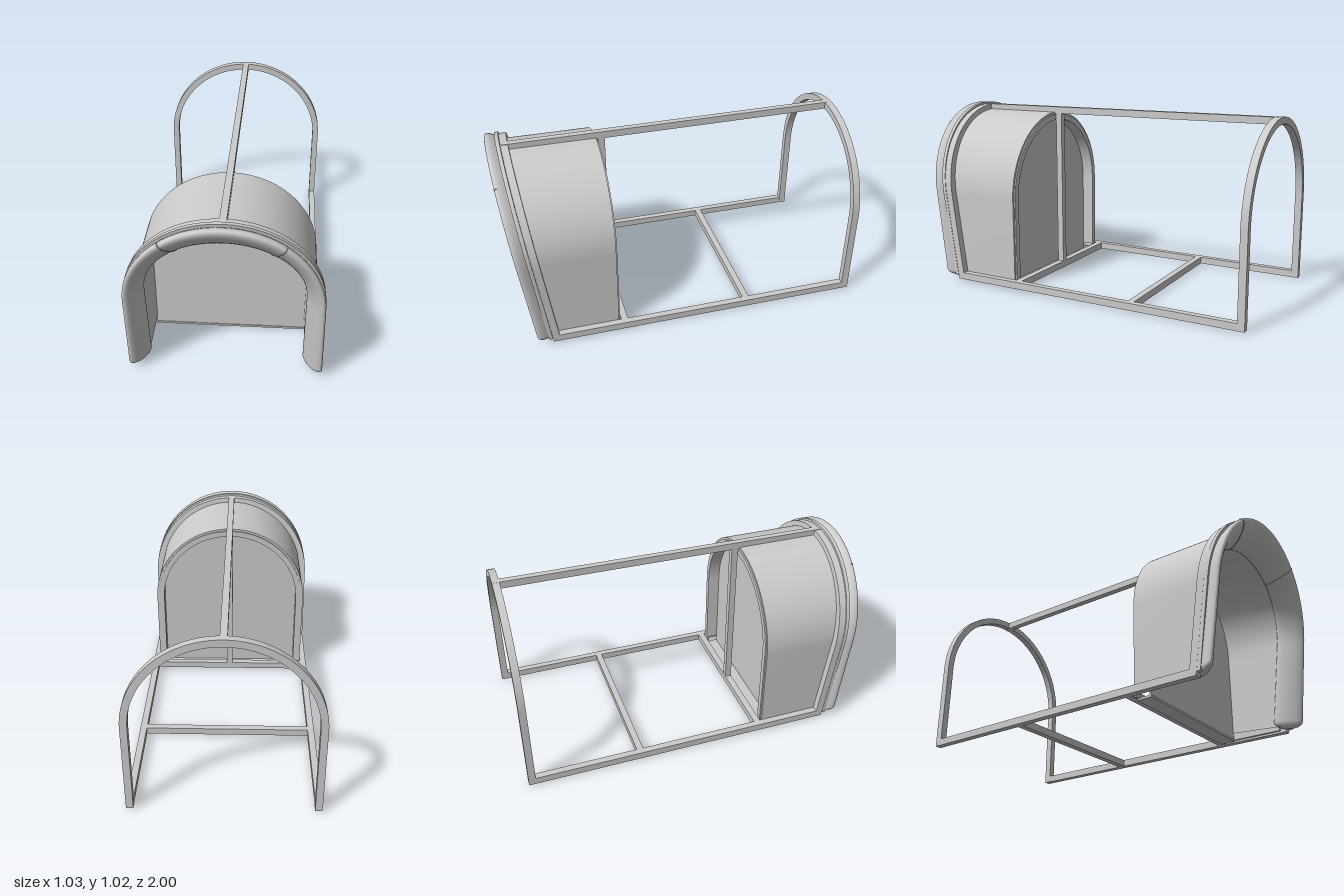
import * as THREE from 'three';
import { toCreasedNormals } from 'three/addons/utils/BufferGeometryUtils.js';

const CY = 0.515;                    // height of the arch centre
const R = 0.505;                     // outer radius of the frame arches
const SLOPE = 0.135;                 // forward lean of the front arch
const frontZ = (y) => 0.78 + SLOPE * y;

const grey = new THREE.MeshStandardMaterial({ color: 0xcccccc });
const greyBoth = new THREE.MeshStandardMaterial({ color: 0xcccccc, side: THREE.DoubleSide });

// Upside-down U (or a solid arched plate when there is no inner radius)
function archGeometry(outer, inner, y0, z0, z1) {
  const s = new THREE.Shape();
  s.moveTo(outer, y0);
  s.lineTo(outer, CY);
  s.absarc(0, CY, outer, 0, Math.PI, false);
  s.lineTo(-outer, y0);
  if (inner) {
    s.lineTo(-inner, y0);
    s.lineTo(-inner, CY);
    s.absarc(0, CY, inner, Math.PI, 0, true);
    s.lineTo(inner, y0);
  }
  s.closePath();
  const g = new THREE.ExtrudeGeometry(s, { depth: z1 - z0, bevelEnabled: false, curveSegments: 40 });
  return g.translate(0, 0, z0);
}

// Shift z of every vertex by a rule
function bendZ(geometry, rule) {
  const p = geometry.attributes.position;
  for (let i = 0; i < p.count; i++) p.setZ(i, rule(p.getY(i), p.getZ(i)));
  return geometry;
}

// Smooth skin over rows of points, optionally closed around each row
function skin(rows, closed) {
  const n = rows[0].length, pos = [], idx = [];
  rows.forEach((row) => row.forEach((p) => pos.push(p.x, p.y, p.z)));
  for (let i = 0; i < rows.length - 1; i++) {
    for (let j = 0; j < (closed ? n : n - 1); j++) {
      const a = i * n + j, b = i * n + (j + 1) % n;
      idx.push(a, a + n, b, b, a + n, b + n);
    }
  }
  const g = new THREE.BufferGeometry();
  g.setAttribute('position', new THREE.Float32BufferAttribute(pos, 3));
  g.setIndex(idx);
  g.computeVertexNormals();
  return g;
}

// Stations up one leg, over the arch and down the other leg
function archStations(y0, capHeight) {
  const half = [];
  if (capHeight) {
    for (let k = 0; k < 6; k++) {
      const a = (k / 6) * Math.PI / 2;
      half.push({ ux: 1, uy: 0, y: y0 - capHeight * Math.cos(a), s: Math.max(0.001, Math.sin(a)) });
    }
  }
  for (let k = 0; k < 8; k++) half.push({ ux: 1, uy: 0, y: y0 + (CY - y0) * k / 8, s: 1 });
  const arc = [];
  for (let k = 0; k <= 48; k++) arc.push(arcStation(Math.PI * k / 48));
  const other = half.map((h) => ({ ...h, ux: -1 })).reverse();
  return [...half, ...arc, ...other];
}
function arcStation(a) {
  return { ux: Math.cos(a), uy: Math.sin(a), y: CY, s: 1 };
}

// One point of the padded rim's section; its inner side leans into the tunnel
function rimPoint(st, phi, grow = 1) {
  const outer = 0.516 - 0.011 * Math.min(1, st.y / CY);
  const inner = 0.412 - 0.055 * st.uy ** 2;
  const c = Math.cos(phi), s = Math.sin(phi);
  const r = (outer + inner) / 2 + c * st.s * grow * (outer - inner) / 2;
  const y = st.y + st.uy * r;
  const centre = 0.013 + 0.05 * c * st.s;
  return new THREE.Vector3(st.ux * r, y, frontZ(y) + centre + s * st.s * grow * 0.045);
}

export function createModel() {
  const model = new THREE.Group();
  const add = (name, geometry, material = grey, parent = model) => {
    const m = new THREE.Mesh(geometry, material);
    m.name = name;
    parent.add(m);
    return m;
  };
  const bar = (name, x0, x1, y0, y1, z0, z1) => {
    const g = new THREE.BoxGeometry(x1 - x0, y1 - y0, z1 - z0);
    g.translate((x0 + x1) / 2, (y0 + y1) / 2, (z0 + z1) / 2);
    return add(name, g);
  };
  const creased = (g) => toCreasedNormals(g, 0.5);

  // Frame: rear arch, leaning front arch, rails, ridge, cross bars and post
  add('rearArch', creased(archGeometry(R, R - 0.038, 0.01, -1, -0.96)));
  const frontArch = archGeometry(R, R - 0.04, 0.01, -0.04, 0).scale(1, 0.99, 1);
  add('frontArch', creased(bendZ(frontArch, (y, z) => z + frontZ(y))));
  for (const side of [-1, 1]) {
    const xs = [side * 0.468, side * R].sort((a, b) => a - b);
    bar(side > 0 ? 'leftRail' : 'rightRail', xs[0], xs[1], 0.01, 0.05, -1, 0.78);
  }
  const ridge = bar('ridgeBeam', -0.018, 0.018, 0.98, 1.02, -0.998, 0.912);
  const rp = ridge.geometry.attributes.position;
  for (let i = 0; i < rp.count; i++) if (rp.getZ(i) > 0) rp.setY(i, rp.getY(i) - 0.008);
  bar('rearCrossBar', -0.47, 0.47, 0.01, 0.05, -0.375, -0.338);
  bar('frontCrossBar', -0.47, 0.47, 0.01, 0.05, 0.352, 0.39);
  bar('centrePost', -0.018, 0.018, 0.05, 0.98, 0.353, 0.39);

  // Tunnel shell, cut at the lean of the front arch
  const shell = archGeometry(0.466, 0.452, 0.02, 0.402, 0.8);
  add('tunnelShell', creased(bendZ(shell, (y, z) => (z > 0.6 ? frontZ(y) - 0.035 : z))));

  // Padded rim with rounded feet
  const rim = new THREE.Group();
  rim.name = 'paddedRim';
  model.add(rim);
  const rows = archStations(0.06, 0.038).map((st) =>
    Array.from({ length: 32 }, (_, j) => rimPoint(st, (j / 32) * Math.PI * 2)));
  add('rimCushion', skin(rows, true), greyBoth, rim);

  // Flat piping between the cushion and the front arch
  const piping = archGeometry(R + 0.001, R - 0.05, 0.03, 0.001, 0.022);
  add('rimPiping', creased(bendZ(piping, (y, z) => z + frontZ(y))), grey, rim);

  // Seams across the cushion on both shoulders
  for (const a of [0.93, Math.PI - 0.93]) {
    const pts = Array.from({ length: 18 }, (_, k) => rimPoint(arcStation(a), k * 0.19, 1.01));
    const path = new THREE.CatmullRomCurve3(pts);
    add('rimSeam', new THREE.TubeGeometry(path, 40, 0.003, 6), grey, rim);
  }

  // Inner lining running from the cushion back past the panel to the rear edge
  const lining = archStations(0.03, 0).map((st) => {
    const front = 0.424 - 0.054 * st.uy ** 2;
    return Array.from({ length: 11 }, (_, k) => {
      const t = k / 10;
      const r = front + (0.421 - front) * t;
      const lift = 0.025 * t * (1 - st.y / CY);
      const y = st.y + lift + st.uy * r;
      return new THREE.Vector3(st.ux * r, y, (frontZ(y) - 0.02) * (1 - t) + 0.4 * t);
    });
  });
  add('innerLining', skin(lining, false), greyBoth);

  // Recessed panel, rear border joining shell and lining, and a base strip
  add('rearPanel', creased(archGeometry(0.424, 0, 0.008, 0.466, 0.476)));
  add('rearBorder', creased(archGeometry(0.453, 0.42, 0.008, 0.394, 0.408)));
  bar('panelBase', -0.426, 0.426, 0, 0.012, 0.392, 0.48);

  return model;
}
